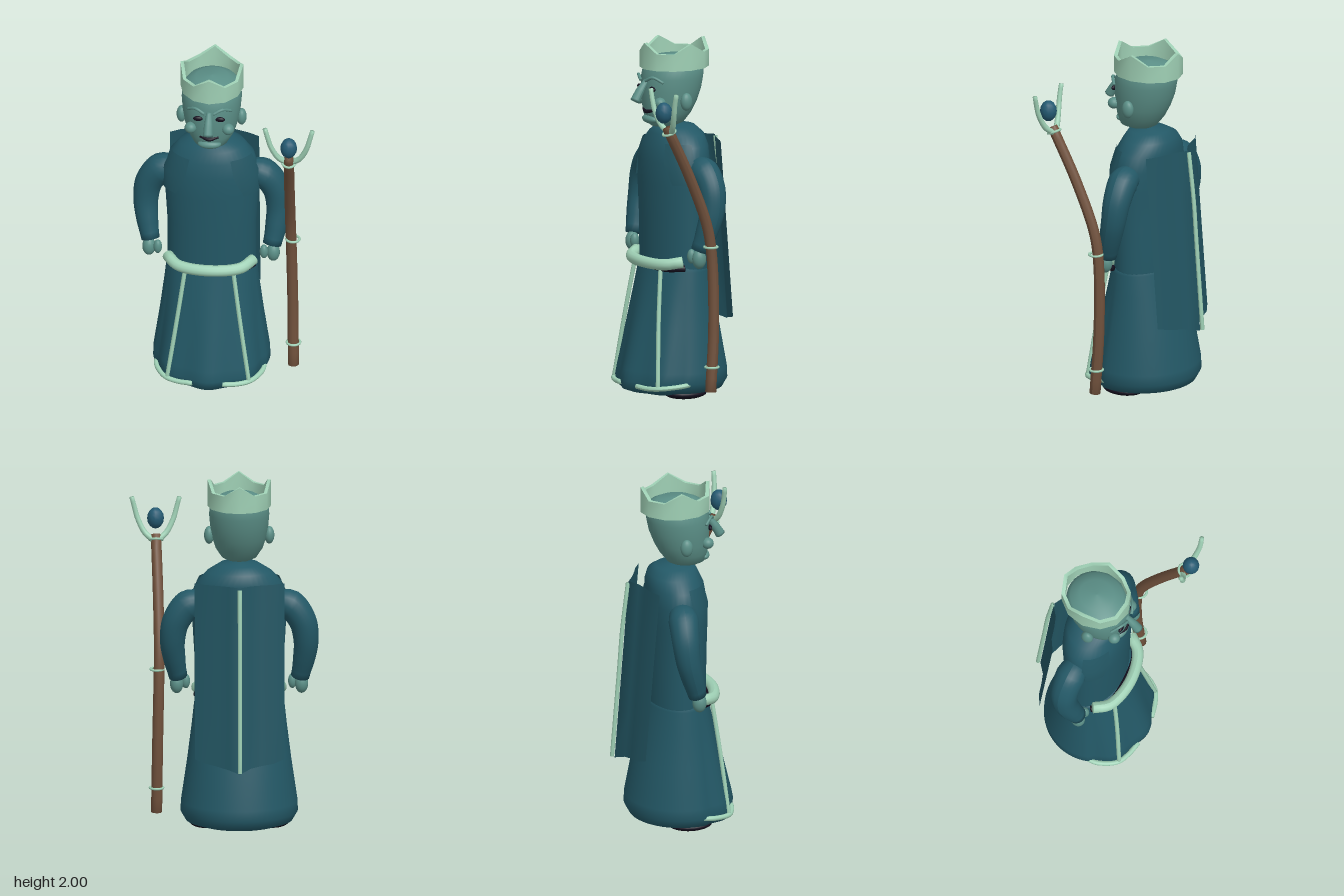
import * as THREE from 'three';

const CX = -0.085; // the figure stands left of the staff
const material = (name, color) => Object.assign(new THREE.MeshStandardMaterial({ color }), { name });
const lerp = THREE.MathUtils.lerp;

// Grid surface from rows of points; closed rows wrap around
function surface(rows, closed) {
  const n = rows[0].length, index = [];
  for (let i = 0; i < rows.length - 1; i++) {
    for (let j = 0; j < (closed ? n : n - 1); j++) {
      const k = (j + 1) % n, a = i * n + j, b = i * n + k;
      index.push(a, b, b + n, a, b + n, a + n);
    }
  }
  const g = new THREE.BufferGeometry();
  g.setAttribute('position', new THREE.Float32BufferAttribute(rows.flat(2), 3));
  g.setIndex(index);
  g.computeVertexNormals();
  return g;
}

// Stacked ellipses given as [y, rx, zCentre, rz]
function loft(sections, segments = 40, wave = () => 1) {
  return surface(sections.map(([y, rx, zc, rz]) => Array.from({ length: segments }, (_, j) => {
    const a = (j / segments) * Math.PI * 2, w = wave(a, y);
    return [CX + rx * w * Math.sin(a), y, zc + rz * w * Math.cos(a)];
  })), true);
}

// Capped tube along a curve, tapering through the given radii
function limb(points, radii, segments = 24, sides = 12) {
  const curve = new THREE.CatmullRomCurve3(points.map((p) => new THREE.Vector3(...p)));
  const g = new THREE.TubeGeometry(curve, segments, 1, sides);
  const pos = g.attributes.position, v = new THREE.Vector3();
  for (let i = 0; i <= segments; i++) {
    const t = i / segments, c = curve.getPointAt(t);
    const end = i === 0 || i === segments;
    const anchor = i === 1 ? curve.getPointAt(0) : i === segments - 1 ? curve.getPointAt(1) : c;
    const f = t * (radii.length - 1), k = Math.min(Math.floor(f), radii.length - 2);
    const r = end ? 0 : radii.length === 1 ? radii[0] : lerp(radii[k], radii[k + 1], f - k);
    for (let j = 0; j <= sides; j++) {
      const id = i * (sides + 1) + j;
      v.fromBufferAttribute(pos, id).sub(c).multiplyScalar(r).add(anchor);
      pos.setXYZ(id, v.x, v.y, v.z);
    }
  }
  g.computeVertexNormals();
  return g;
}

export function createModel() {
  const root = new THREE.Group();
  const robe = material('teal robe', 0x235866);
  const skin = material('sea green skin', 0x5b8f87);
  const pale = material('pale green trim', 0x9fd0b5);
  const wood = material('brown wood', 0x70513c);
  const dark = material('near black', 0x15101f);
  const gem = material('blue gem', 0x245a72);
  const cloth = material('teal cape', 0x225562);
  cloth.side = THREE.DoubleSide;

  const add = (name, geometry, mat) => {
    const m = new THREE.Mesh(geometry, mat);
    m.name = name;
    root.add(m);
    return m;
  };
  const ball = (name, mat, [x, y, z], [rx, ry, rz], w = 20, h = 14) => {
    const m = add(name, new THREE.SphereGeometry(1, w, h), mat);
    m.position.set(x, y, z);
    m.scale.set(rx, ry, rz);
    return m;
  };

  // Torso and pleated skirt
  const torso = [[0.7, 0.24, -0.01, 0.155], [0.74, 0.25, -0.015, 0.165], [1.0, 0.25, -0.01, 0.162],
    [1.2, 0.262, -0.01, 0.168], [1.33, 0.262, -0.015, 0.168], [1.42, 0.235, -0.022, 0.16],
    [1.48, 0.18, -0.03, 0.14], [1.52, 0.11, -0.02, 0.11], [1.535, 0, -0.02, 0]];
  add('torso', loft(torso), robe);
  const pleat = (a, y) => {
    const d = Math.min(a, Math.PI * 2 - a);
    return d < 1.18 ? 1 + 0.035 * Math.cos(8 * d) * THREE.MathUtils.clamp((0.74 - y) / 0.6, 0, 1) : 1;
  };
  add('skirt', loft([[0.03, 0, 0, 0], [0.03, 0.24, 0.01, 0.23], [0.05, 0.3, 0.01, 0.285],
    [0.1, 0.327, 0, 0.302], [0.16, 0.325, -0.004, 0.295], [0.4, 0.29, -0.008, 0.245],
    [0.6, 0.265, -0.01, 0.2], [0.72, 0.252, -0.01, 0.172], [0.75, 0.245, -0.01, 0.165],
    [0.755, 0.2, -0.01, 0.13]], 64, pleat), robe);

  // Lapel plates lying just off the chest
  const torsoAt = (y) => {
    const i = torso.findIndex((s) => s[0] > y), a = torso[i - 1], b = torso[i];
    const t = (y - a[0]) / (b[0] - a[0]);
    return a.map((v, k) => lerp(v, b[k], t));
  };
  for (const s of [-1, 1]) {
    const rows = [[1.215, 0.76], [1.33, 0.52], [1.44, 0.52]].map(([y, from]) =>
      Array.from({ length: 7 }, (_, j) => {
        const [, rx, zc, rz] = torsoAt(y), a = s * lerp(from, 1.35, j / 6);
        return [CX + rx * 1.06 * Math.sin(a), y, zc + rz * 1.06 * Math.cos(a)];
      }));
    add('lapel', surface(rows), cloth);
  }

  // Folded cape with a centre trim
  const across = [-0.25, -0.19, -0.12, -0.06, 0, 0.06, 0.12, 0.19, 0.25];
  const fold = [0, 0.3, 0.45, 0.62, 1, 0.72, 0.5, 0.28, 0];
  const capeRows = [0, 0.25, 0.5, 0.75, 1].map((t) => across.map((dx, j) => {
    const f = fold[j];
    return [CX + dx, lerp(1.44, 0.45 - 0.06 * f, t), lerp(-0.165, -0.245, t) - f * 0.118];
  }));
  add('cape', surface(capeRows), cloth);
  add('capeTrim', limb([[CX, 1.43, -0.287], [CX, 1.15, -0.32], [CX, 0.95, -0.335], [CX, 0.4, -0.378]], [0.012, 0.012]), pale);

  // Belt with the dark cord below it
  add('belt', limb([[-0.325, 0.785, 0.08], [-0.26, 0.768, 0.155], [CX, 0.765, 0.195],
    [0.09, 0.768, 0.155], [0.155, 0.785, 0.08]], [0.032, 0.032]), pale);
  add('beltCord', limb([[-0.325, 0.747, 0.065], [-0.255, 0.742, 0.14], [CX, 0.745, 0.165],
    [0.085, 0.742, 0.14], [0.155, 0.747, 0.065]], [0.018, 0.018]), dark);

  for (const s of [-1, 1]) {
    const at = (dx) => CX + s * dx;
    // Skirt trims and shoes
    add('skirtStrip', limb([[at(0.13), 0.78, 0.155], [at(0.175), 0.45, 0.198], [at(0.23), 0.07, 0.238]], [0.012, 0.012]), pale);
    add('hemTrim', limb([[at(0.3), 0.1, 0.055], [at(0.297), 0.092, 0.13], [at(0.24), 0.08, 0.23],
      [at(0.17), 0.075, 0.265], [at(0.085), 0.078, 0.285]], [0.014, 0.014]), pale);
    ball('shoe', dark, [at(0.185), 0.032, 0.025], [0.095, 0.032, 0.125]);

    // Arms and hands
    add('arm', limb([[at(0.17), 1.29, -0.03], [at(0.275), 1.29, -0.035], [at(0.35), 1.2, -0.04],
      [at(0.372), 1.08, -0.03], [at(0.36), 0.96, 0.0], [at(0.34), 0.86, 0.03]],
    [0.06, 0.085, 0.078, 0.07, 0.062, 0.05], 30, 20), robe);
    ball('hand', skin, [at(0.348), 0.815, 0.04], [0.037, 0.055, 0.04]);
    ball('thumb', skin, [at(0.297), 0.825, 0.058], [0.024, 0.042, 0.025]);

    // Paired face parts
    ball('ear', skin, [at(0.168), 1.675, 0.01], [0.028, 0.05, 0.035]);
    ball('cheek', skin, [at(0.105), 1.67, 0.145], [0.034, 0.032, 0.034]);
    ball('eye', dark, [at(0.062), 1.745, 0.168], [0.027, 0.015, 0.012]);
    add('eyebrow', limb([[at(0.122), 1.785, 0.132], [at(0.075), 1.812, 0.172], [at(0.025), 1.79, 0.19]], [0.008, 0.009]), skin);
  }

  // Head with flat face
  add('head', loft([[1.52, 0, 0.05, 0], [1.525, 0.055, 0.05, 0.075], [1.545, 0.098, 0.045, 0.107],
    [1.6, 0.132, 0.03, 0.135], [1.66, 0.15, 0.018, 0.155], [1.73, 0.162, 0.006, 0.17],
    [1.8, 0.168, -0.002, 0.176], [1.86, 0.163, -0.012, 0.172], [1.89, 0.14, -0.013, 0.15],
    [1.915, 0.09, -0.013, 0.1], [1.925, 0, -0.013, 0]]), skin);
  add('nose', limb([[CX, 1.785, 0.168], [CX, 1.73, 0.21], [CX, 1.675, 0.243]], [0.015, 0.024, 0.028]), skin);
  add('mouth', limb([[CX - 0.05, 1.622, 0.152], [CX, 1.612, 0.17], [CX + 0.05, 1.622, 0.152]], [0.009, 0.011, 0.009]), dark);
  ball('chin', skin, [CX, 1.567, 0.142], [0.066, 0.026, 0.035]);

  // Crown: twelve sides, every third corner a point
  const crownRow = (k, top) => Array.from({ length: 12 }, (_, j) => {
    const a = (j / 12) * Math.PI * 2;
    const y = top ? (j % 3 ? 1.945 : 2.0) : 1.85;
    return [CX + 0.177 * k * Math.sin(a), y, -0.017 + 0.199 * k * Math.cos(a)];
  });
  const low = crownRow(1, false), high = crownRow(1, true);
  const highIn = crownRow(0.89, true), lowIn = crownRow(0.89, false);
  for (const [name, a, b] of [['crownOutside', low, high], ['crownRim', high, highIn],
    ['crownInside', highIn, lowIn], ['crownUnderside', lowIn, low]]) {
    add(name, surface([a, b], true), pale);
  }

  // Bent staff with rings, fork and gem
  const path = [[0.375, 0.08, 0.035], [0.37, 0.45, 0.012], [0.362, 0.85, 0.02], [0.36, 1.02, 0.05],
    [0.365, 1.3, 0.165], [0.375, 1.6, 0.32]];
  add('staff', limb(path, [0.031, 0.029], 40, 12), wood);
  for (const [x, y, z, tilt] of [[0.375, 0.22, 0.027, 0], [0.372, 0.9, 0.032, 0], [0.375, 1.575, 0.308, 0.4]]) {
    const ring = add('staffRing', new THREE.TorusGeometry(0.037, 0.007, 8, 24), pale);
    ring.position.set(x, y, z);
    ring.rotation.x = Math.PI / 2 + tilt;
  }
  for (const s of [-1, 1]) {
    const x = (d) => 0.377 + s * d;
    add('forkProng', limb([[x(0.015), 1.575, 0.305], [x(0.06), 1.612, 0.325], [x(0.1), 1.69, 0.342],
      [x(0.117), 1.75, 0.347], [x(0.133), 1.81, 0.347]], [0.017, 0.013]), pale);
  }
  ball('staffGem', gem, [0.377, 1.69, 0.345], [0.047, 0.06, 0.047], 12, 8);

  return root;
}
